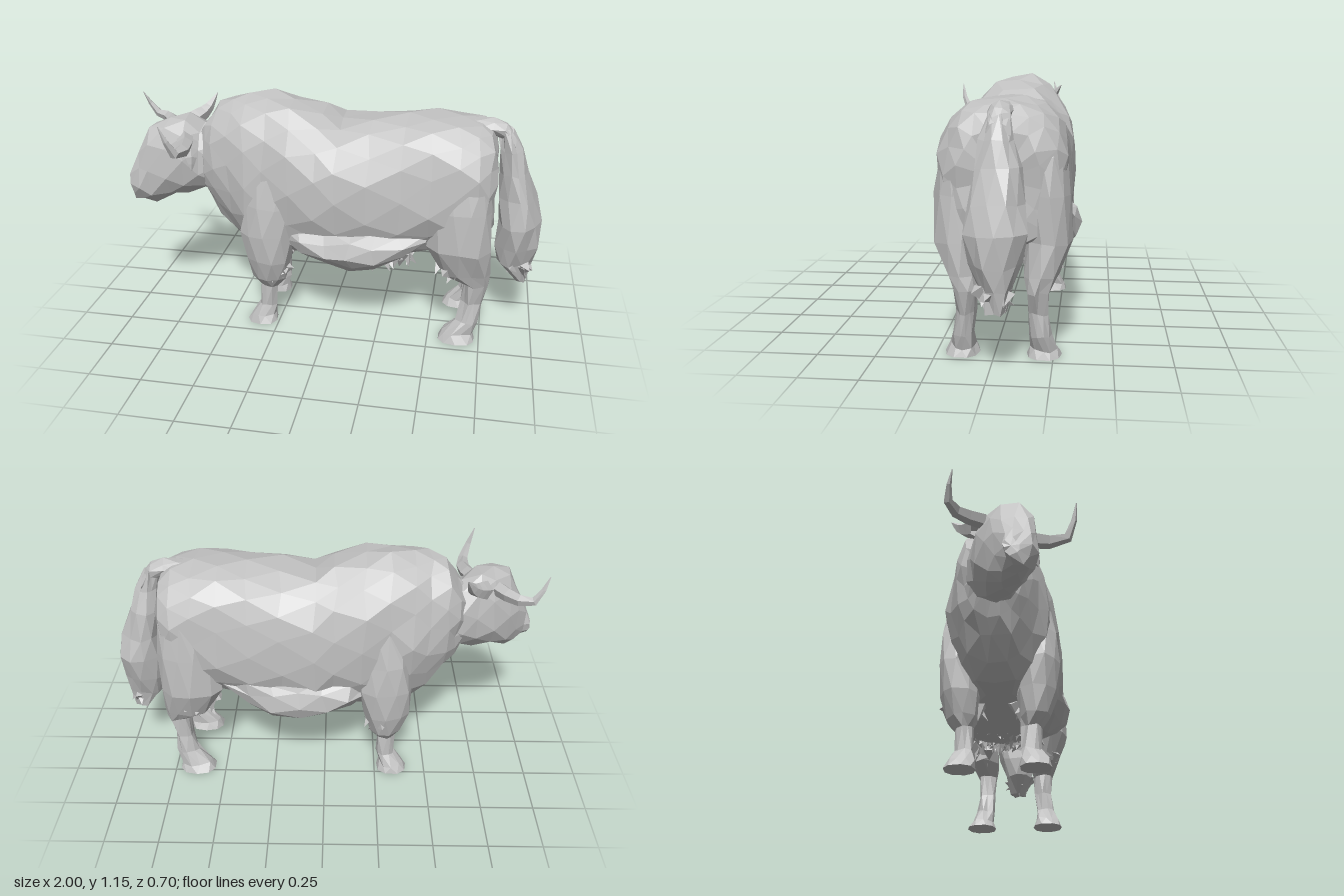
import * as THREE from 'three';
import { mergeGeometries } from 'three/addons/utils/BufferGeometryUtils.js';

const MID = -0.035; // centre plane of the body
const coat = new THREE.MeshStandardMaterial({ color: 0xc2c2c2, flatShading: true, side: THREE.DoubleSide });
coat.name = 'grey coat';

let seed = 7;
const rnd = () => (seed = (seed * 16807) % 2147483647) / 2147483647;
const jig = (a) => (rnd() - 0.5) * 2 * a;

function part(group, name, geometry) {
  const mesh = new THREE.Mesh(geometry, coat);
  mesh.name = name;
  group.add(mesh);
}

// Skin over rings, ascending along an axis; the last entry sets how boxy a ring is.
// axis x: [x, y, z, ry, rz, power]; axis y: [y, x, z, rx, rz, power]
function loft(axis, rings, sides, rough = 0.01) {
  const pos = [], idx = [];
  const put = (d, p, q) => (axis === 'x' ? pos.push(d, p, q) : pos.push(q, d, p));
  const unpack = (r) => (axis === 'x' ? r : [r[0], r[2], r[1], r[4], r[3], r[5]]);
  rings.forEach((ring, i) => {
    const [d, p, q, rp, rq, power = 1] = unpack(ring);
    const pw = (v) => Math.sign(v) * Math.abs(v) ** power;
    const a = d < 0.005 && axis === 'y' ? 0 : rough; // soles stay flat
    for (let j = 0; j < sides; j++) {
      const t = ((j + (i % 2) * 0.5) / sides) * Math.PI * 2;
      put(d + jig(a), p + rp * pw(Math.cos(t)) + jig(a), q + rq * pw(Math.sin(t)) + jig(a));
    }
  });
  for (let i = 0; i < rings.length - 1; i++) {
    for (let j = 0; j < sides; j++) {
      const k = (j + 1) % sides;
      const a = i * sides + j, b = i * sides + k, c = a + sides, e = b + sides;
      if (i % 2) idx.push(a, b, e, a, e, c);
      else idx.push(a, b, c, b, e, c);
    }
  }
  const last = rings.length - 1, n = rings.length * sides;
  for (const r of [rings[0], rings[last]]) put(...unpack(r).slice(0, 3));
  for (let j = 0; j < sides; j++) {
    const k = (j + 1) % sides;
    idx.push(n, k, j, n + 1, last * sides + j, last * sides + k);
  }
  const g = new THREE.BufferGeometry();
  g.setAttribute('position', new THREE.Float32BufferAttribute(pos, 3));
  g.setIndex(idx);
  g.computeVertexNormals();
  return g;
}

// Tube that narrows to a point
function taper(points, radius, sides = 5) {
  const curve = new THREE.CatmullRomCurve3(points.map((p) => new THREE.Vector3(...p)));
  const segs = 5;
  const g = new THREE.TubeGeometry(curve, segs, radius, sides);
  const p = g.attributes.position, v = new THREE.Vector3();
  for (let i = 0; i < p.count; i++) {
    const t = Math.floor(i / (sides + 1)) / segs;
    const c = curve.getPointAt(t);
    v.fromBufferAttribute(p, i).sub(c).multiplyScalar(1 - t ** 1.5 * 0.95).add(c);
    p.setXYZ(i, v.x, v.y, v.z);
  }
  g.computeVertexNormals();
  return g;
}

// Ragged hanging locks spread over an oval patch
function locks(x, y, z, rx, rz, count, length) {
  const list = [];
  for (let i = 0; i < count; i++) {
    const a = rnd() * Math.PI * 2, r = Math.sqrt(rnd());
    const h = length * (0.55 + rnd() * 0.5);
    const g = new THREE.ConeGeometry(h * 0.4, h, 3);
    g.rotateX(Math.PI + jig(0.9)).rotateZ(jig(0.9)).rotateY(rnd() * 6);
    g.translate(x + rx * r * Math.cos(a), y - h * 0.3 + r * r * length * 0.5, z + rz * r * Math.sin(a));
    list.push(g);
  }
  return mergeGeometries(list);
}

export function createModel() {
  const model = new THREE.Group();
  model.name = 'ox';

  // Trunk: x, underside, back line, half width, boxiness
  const trunk = [
    [-0.655, 0.68, 0.93, 0.09, 1], [-0.61, 0.59, 1.02, 0.135, 0.95], [-0.56, 0.52, 1.085, 0.17, 0.95],
    [-0.48, 0.42, 1.115, 0.2, 0.95], [-0.4, 0.365, 1.13, 0.23, 0.92], [-0.3, 0.355, 1.145, 0.25, 0.9],
    [-0.18, 0.355, 1.125, 0.265, 0.86], [-0.05, 0.36, 1.08, 0.275, 0.82], [0.05, 0.36, 1.05, 0.28, 0.8],
    [0.2, 0.36, 1.06, 0.282, 0.8], [0.35, 0.39, 1.075, 0.28, 0.8], [0.48, 0.43, 1.09, 0.278, 0.8],
    [0.6, 0.46, 1.08, 0.28, 0.78], [0.69, 0.47, 1.07, 0.265, 0.78], [0.745, 0.5, 1.04, 0.235, 0.8],
    [0.77, 0.57, 0.97, 0.17, 0.85],
  ].map(([x, lo, hi, w, p]) => [x, (lo + hi) / 2, MID, (hi - lo) / 2, w, p]);
  part(model, 'body', loft('x', trunk, 16, 0.011));

  // Shaggy skirt along the belly
  part(model, 'bellyCoat', loft('x', [
    [-0.2, 0.5, MID, 0.07, 0.2, 0.9], [-0.12, 0.48, MID, 0.12, 0.27, 0.9], [0, 0.47, MID, 0.135, 0.295, 0.9],
    [0.12, 0.46, MID, 0.145, 0.31, 0.9], [0.24, 0.47, MID, 0.14, 0.3, 0.9], [0.36, 0.51, MID, 0.12, 0.28, 0.9],
    [0.47, 0.56, MID, 0.08, 0.22, 0.9],
  ], 14, 0.014));
  part(model, 'bellyLocks', locks(0.19, 0.355, MID, 0.23, 0.19, 110, 0.1));

  // Head, turned slightly to one side
  part(model, 'head', loft('x', [
    [-0.995, 0.685, 0.075, 0.035, 0.03], [-0.965, 0.7, 0.1, 0.085, 0.062, 0.85], [-0.92, 0.745, 0.09, 0.145, 0.09, 0.85],
    [-0.87, 0.785, 0.065, 0.205, 0.11, 0.85], [-0.79, 0.815, 0.035, 0.2, 0.13, 0.85], [-0.71, 0.825, 0.005, 0.195, 0.13, 0.85],
    [-0.64, 0.81, -0.02, 0.17, 0.125, 0.9], [-0.55, 0.8, MID, 0.17, 0.12],
  ], 10, 0.008));
  part(model, 'leftHorn', taper([[-0.71, 0.93, 0.07], [-0.67, 0.92, 0.19], [-0.68, 0.93, 0.3], [-0.73, 1.07, 0.34]], 0.042));
  part(model, 'rightHorn', taper([[-0.8, 0.95, -0.06], [-0.87, 0.95, -0.16], [-0.94, 0.96, -0.19], [-1, 1.07, -0.165]], 0.036));
  part(model, 'leftEar', taper([[-0.69, 0.9, 0.08], [-0.66, 0.87, 0.14], [-0.65, 0.8, 0.17]], 0.05));
  part(model, 'rightEar', taper([[-0.73, 0.96, -0.09], [-0.67, 1, -0.16], [-0.63, 1.07, -0.22]], 0.045));

  // Legs: y, x, distance from the centre plane, rx, rz
  const front = [
    [0, -0.335, 0.165, 0.075, 0.07, 0.85], [0.035, -0.33, 0.16, 0.062, 0.06], [0.09, -0.305, 0.15, 0.042, 0.045],
    [0.2, -0.3, 0.15, 0.045, 0.045], [0.25, -0.295, 0.16, 0.08, 0.07], [0.36, -0.295, 0.175, 0.115, 0.095],
    [0.5, -0.29, 0.19, 0.13, 0.09], [0.65, -0.28, 0.19, 0.115, 0.075], [0.82, -0.27, 0.17, 0.09, 0.07],
    [0.93, -0.26, 0.14, 0.05, 0.05],
  ];
  const hind = [
    [0, 0.64, 0.175, 0.09, 0.075, 0.85], [0.035, 0.645, 0.17, 0.075, 0.058], [0.1, 0.685, 0.16, 0.052, 0.046],
    [0.2, 0.7, 0.15, 0.045, 0.044], [0.3, 0.715, 0.15, 0.058, 0.048], [0.36, 0.665, 0.165, 0.11, 0.075],
    [0.5, 0.625, 0.19, 0.15, 0.1], [0.7, 0.635, 0.195, 0.135, 0.09], [0.86, 0.645, 0.185, 0.11, 0.075],
    [0.97, 0.64, 0.15, 0.07, 0.06],
  ];
  for (const [side, s] of [['left', 1], ['right', -1]]) {
    const place = (rings) => rings.map(([y, x, z, ...rest]) => [y, x, MID + s * z, ...rest]);
    part(model, side + 'FrontLeg', loft('y', place(front), 9, 0.008));
    part(model, side + 'HindLeg', loft('y', place(hind), 10, 0.008));
    part(model, side + 'FrontLegLocks', locks(-0.26, 0.28, MID + s * 0.15, 0.07, 0.08, 16, 0.09));
    part(model, side + 'HindLegLocks', locks(0.6, 0.37, MID + s * 0.17, 0.07, 0.06, 10, 0.1));
  }

  // Tail: arched root and bushy switch
  part(model, 'tailRoot', loft('x', [
    [0.6, 1.03, MID, 0.04, 0.07], [0.68, 1.035, MID, 0.04, 0.06], [0.74, 1.04, MID, 0.04, 0.05],
    [0.8, 1.02, MID, 0.04, 0.045], [0.85, 0.96, MID, 0.045, 0.05],
  ], 8, 0.004));
  part(model, 'tailSwitch', loft('y', [
    [0.27, 0.92, MID, 0.03, 0.04], [0.36, 0.895, MID, 0.08, 0.075], [0.46, 0.892, MID, 0.1, 0.105],
    [0.58, 0.893, MID, 0.103, 0.125], [0.7, 0.88, MID, 0.088, 0.115], [0.83, 0.855, MID, 0.066, 0.09],
    [0.94, 0.83, MID, 0.05, 0.07], [1.03, 0.8, MID, 0.03, 0.04],
  ], 10, 0.011));
  part(model, 'tailLocks', locks(0.92, 0.32, MID, 0.05, 0.06, 12, 0.09));

  return model;
}
